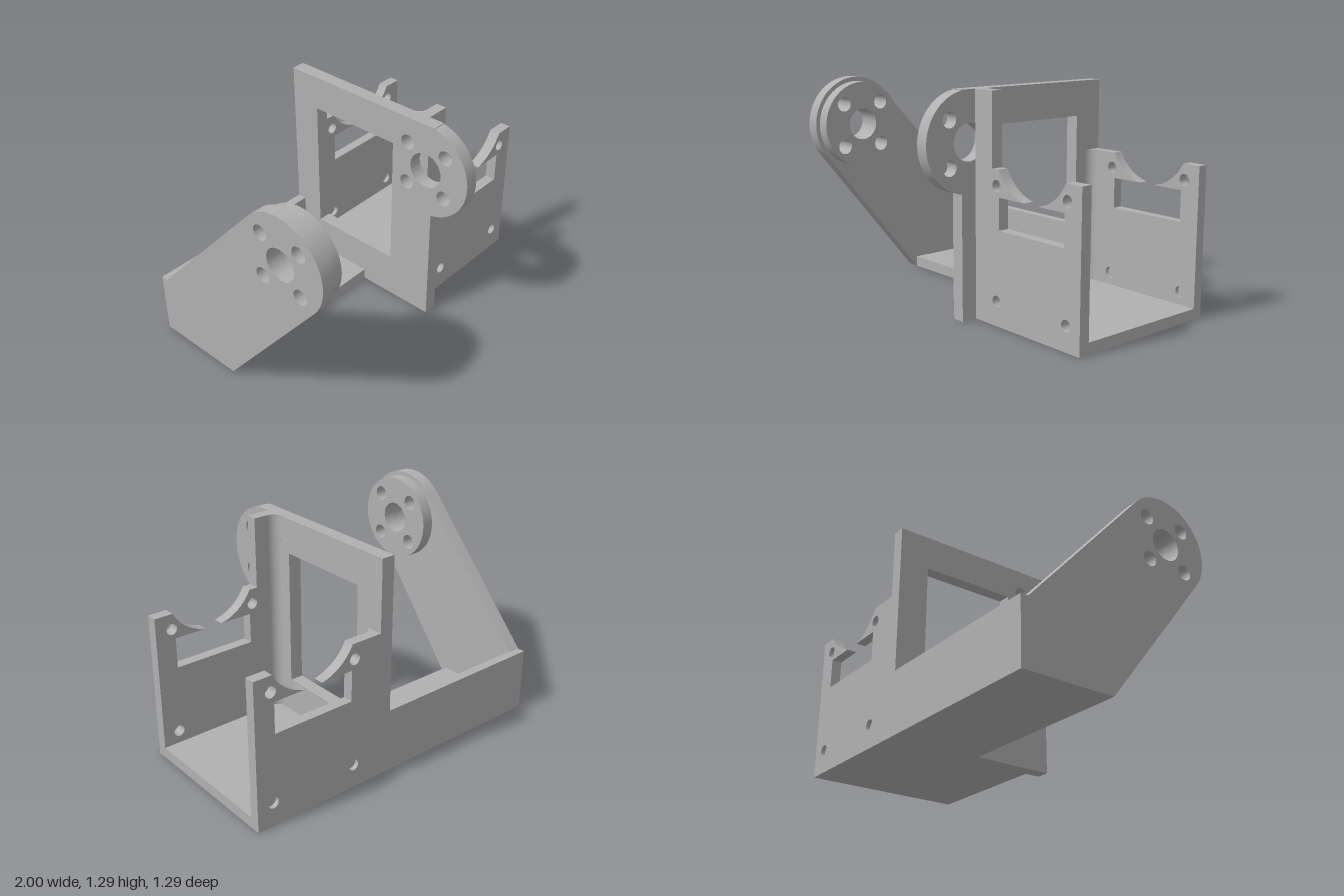
import * as THREE from 'three';
import { toCreasedNormals } from 'three/addons/utils/BufferGeometryUtils.js';

const PIVOT = { z: 0.36, y: 1.0, r: 0.285 };

export function createModel() {
  const model = new THREE.Group();
  model.name = 'bracket';
  const grey = new THREE.MeshStandardMaterial({ color: 0xb0b0b0 });
  grey.name = 'grey';

  const add = (name, geometry) => {
    const mesh = new THREE.Mesh(geometry, grey);
    mesh.name = name;
    model.add(mesh);
  };
  // Box given by its limits on each axis
  const box = (name, x0, x1, y0, y1, z0, z1) => {
    const g = new THREE.BoxGeometry(x1 - x0, y1 - y0, z1 - z0);
    add(name, g.translate((x0 + x1) / 2, (y0 + y1) / 2, (z0 + z1) / 2));
  };
  const extrude = (shape, depth) => toCreasedNormals(
    new THREE.ExtrudeGeometry(shape, { depth, bevelEnabled: false, curveSegments: 32 }), 0.5);
  const hole = (shape, x, y, r) =>
    shape.holes.push(new THREE.Path().absarc(x, y, r, 0, Math.PI * 2, true));
  // Plate drawn in (z, y), filling x0..x1
  const sidePlate = (name, shape, x0, x1) =>
    add(name, extrude(shape, x1 - x0).rotateY(-Math.PI / 2).translate(x1, 0, 0));
  // Pivot bore and four bolt holes around it
  const pivotHoles = (shape, bore) => {
    hole(shape, PIVOT.z, PIVOT.y, bore);
    for (const a of [-0.13, 0.13])
      for (const b of [-0.13, 0.13]) hole(shape, PIVOT.z + a, PIVOT.y + b, 0.045);
  };

  // Tall central plate with round lug and rectangular window
  const tall = new THREE.Shape();
  const lugAngle = Math.acos(0.05 / PIVOT.r);
  tall.moveTo(-0.645, 0);
  tall.lineTo(0.41, 0);
  tall.absarc(PIVOT.z, PIVOT.y, PIVOT.r, -lugAngle, lugAngle, false);
  tall.lineTo(0.41, 1.285);
  tall.lineTo(-0.645, 1.285);
  tall.closePath();
  pivotHoles(tall, 0.105);
  tall.holes.push(new THREE.Path([[-0.46, 0.275], [-0.46, 1.08], [0.125, 1.08], [0.125, 0.275]]
    .map(([z, y]) => new THREE.Vector2(z, y))));
  sidePlate('centralPlate', tall, 0.11, 0.19);

  // Slanted outer arm, tangent to its round end
  const arm = new THREE.Shape();
  arm.moveTo(-0.645, 0);
  arm.lineTo(-0.085, 0);
  arm.absarc(PIVOT.z, PIVOT.y, PIVOT.r, -0.682, 2.404, false);
  arm.lineTo(-0.6, 0.38);
  arm.lineTo(-0.645, 0.38);
  arm.closePath();
  pivotHoles(arm, 0.095);
  sidePlate('outerArm', arm, -1, -0.92);

  // Raised hub on the inside of the arm
  const hub = new THREE.Shape().absarc(PIVOT.z, PIVOT.y, 0.26, 0, Math.PI * 2, false);
  pivotHoles(hub, 0.095);
  sidePlate('armHub', hub, -0.92, -0.845);

  // Cradle wall: arc cut out of the top, opening into a slot, with four holes
  const cradleWall = (name, z0, z1, hasPost) => {
    const cx = 0.635, cy = 1.0, r = 0.285;
    const aTop = Math.asin(0.13 / r), aTip = Math.asin(0.28 / r);
    const s = new THREE.Shape();
    s.moveTo(0.19, 0);
    s.lineTo(1, 0);
    s.lineTo(1, 0.87);
    s.absarc(cx, cy, r, -aTop, -aTip, true);
    for (const [x, y] of [[0.88, 0.72], [0.88, 0.54], [0.385, 0.54], [0.385, 0.72]]) s.lineTo(x, y);
    s.absarc(cx, cy, r, -Math.PI + aTip, -Math.PI + aTop, true);
    if (hasPost) {
      s.lineTo(0.33, 0.87);
      s.lineTo(0.33, 1.285);
      s.lineTo(0.19, 1.285);
    } else s.lineTo(0.19, 0.87);
    s.closePath();
    for (const x of [0.365, 0.9])
      for (const y of [0.14, 0.78]) hole(s, x, y, 0.033);
    add(name, extrude(s, z1 - z0).translate(0, 0, z0));
  };
  cradleWall('frontWall', 0.25, 0.315, true);
  cradleWall('rearWall', -0.645, -0.585, false);

  // Thin webs closing the lower rear holes
  for (const x of [0.365, 0.9]) {
    const web = new THREE.CylinderGeometry(0.033, 0.033, 0.008, 32).rotateX(Math.PI / 2);
    add('holeWeb', web.translate(x, 0.14, -0.615));
  }

  // Floors and low rear rail
  box('cradleFloor', 0.19, 1, 0, 0.065, -0.585, 0.25);
  box('armFloor', -0.92, 0.11, 0, 0.065, -0.59, -0.085);
  box('rearRail', -0.92, 0.11, 0, 0.38, -0.645, -0.59);

  // Concave fillets in the cradle's vertical corners
  const fillet = (name, z, dir, top) => {
    const r = 0.055;
    const s = new THREE.Shape();
    s.moveTo(0, 0);
    s.lineTo(r, 0);
    s.absarc(r, dir * r, r, -dir * Math.PI / 2, dir * -Math.PI, dir > 0);
    s.closePath();
    add(name, extrude(s, top - 0.065).rotateX(-Math.PI / 2).translate(0.19, 0.065, z));
  };
  fillet('frontFillet', 0.25, 1, 1.285);
  fillet('rearFillet', -0.585, -1, 0.87);

  return model;
}
